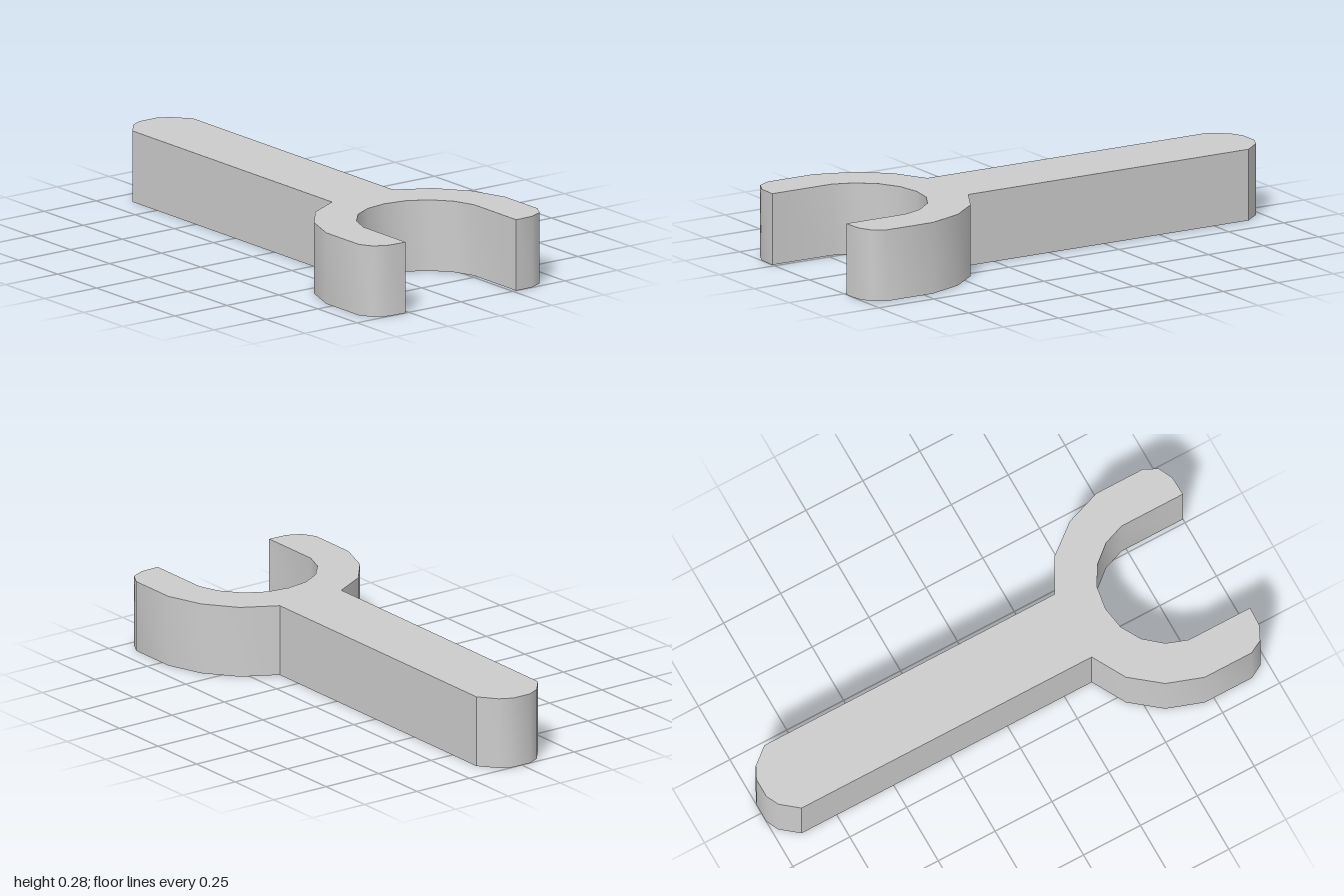
import * as THREE from 'three';
import { toCreasedNormals } from 'three/addons/utils/BufferGeometryUtils.js';

export function createModel() {
  const height = 0.283;
  // Half outline, from the rounded handle end around one prong to the jaw centre
  const half = [
    [-1, 0.04], [-0.975, 0.09], [-0.905, 0.147],              // handle end
    [0.37, 0.147], [0.445, 0.283], [0.565, 0.379], [0.71, 0.43], // outer jaw
    [0.917, 0.43], [0.97, 0.401], [0.997, 0.345], [1, 0.266],   // prong tip
    [0.73, 0.266], [0.645, 0.235], [0.572, 0.173], [0.527, 0.093], // inner jaw
  ];
  const mirrored = half.map(([x, z]) => [x, -z]).reverse();
  const outline = [...half, [0.512, 0], ...mirrored];
  const shape = new THREE.Shape(outline.map(([x, z]) => new THREE.Vector2(x, z)));

  // Extrude the flat outline upwards, keeping hard corners sharp
  const geometry = new THREE.ExtrudeGeometry(shape, { depth: height, bevelEnabled: false });
  geometry.rotateX(-Math.PI / 2);
  const wrench = new THREE.Mesh(
    toCreasedNormals(geometry, THREE.MathUtils.degToRad(36)),
    new THREE.MeshStandardMaterial({ color: 0xcccccc })
  );
  wrench.name = 'openEndWrench';

  const group = new THREE.Group();
  group.name = 'wrench';
  group.add(wrench);
  return group;
}
